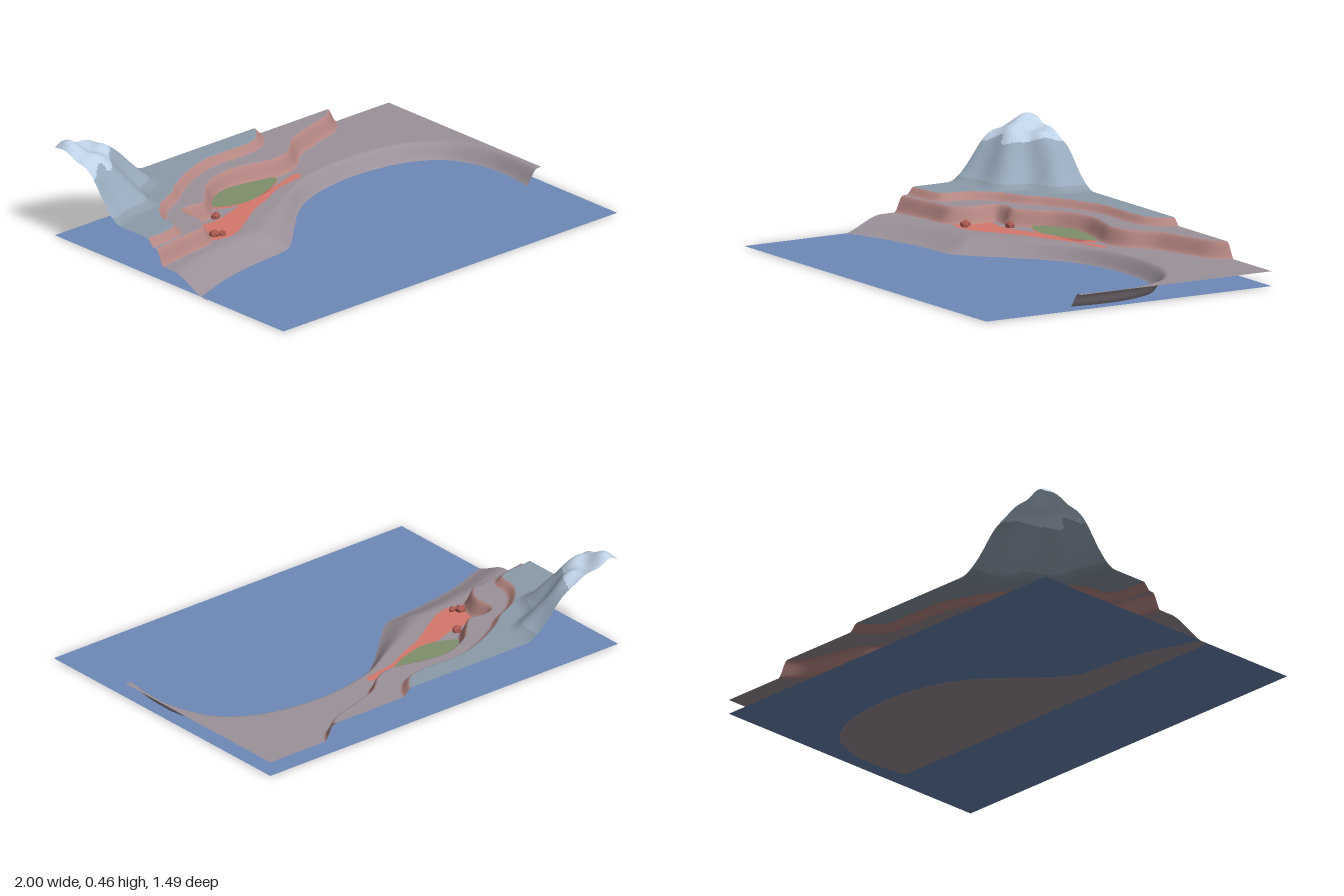
import * as THREE from 'three';

const { smoothstep, lerp } = THREE.MathUtils;

// Smooth contour line in plan (x, z)
const contour = (pts) =>
  new THREE.SplineCurve(pts.map(([x, z]) => new THREE.Vector2(x, z))).getPoints(90);

const shore = contour([[-1.15, 0.27], [-1, 0.23], [-0.8, 0.16], [-0.61, 0.12], [-0.37, 0.09], [-0.27, 0.02],
  [-0.16, -0.09], [-0.05, -0.195], [0.08, -0.28], [0.24, -0.33], [0.43, -0.35], [0.62, -0.33],
  [0.75, -0.285], [0.85, -0.21], [0.9, -0.115], [0.93, 0], [0.93, 0.14], [0.915, 0.25], [0.9, 0.4]]);
const lowerCliff = contour([[-1.15, -0.04], [-1, -0.06], [-0.8, -0.095], [-0.67, -0.115], [-0.61, -0.21],
  [-0.61, -0.31], [-0.56, -0.33], [-0.48, -0.32], [-0.4, -0.39], [-0.32, -0.465], [-0.18, -0.515],
  [-0.05, -0.5], [0.08, -0.47], [0.19, -0.495], [0.3, -0.585], [0.46, -0.64], [0.59, -0.68],
  [0.66, -0.745], [0.72, -0.85]]);
const upperCliff = contour([[-1.15, -0.1], [-1, -0.12], [-0.81, -0.15], [-0.77, -0.28], [-0.68, -0.38],
  [-0.56, -0.44], [-0.48, -0.5], [-0.32, -0.58], [-0.18, -0.62], [0, -0.62], [0.11, -0.635],
  [0.18, -0.69], [0.22, -0.76], [0.25, -0.85]]);
const clayPatch = contour([[-0.64, -0.115], [-0.6, -0.19], [-0.59, -0.28], [-0.5, -0.27], [-0.42, -0.28],
  [-0.29, -0.32], [-0.13, -0.35], [0, -0.385], [0.14, -0.425], [0.14, -0.385], [-0.02, -0.355],
  [-0.16, -0.29], [-0.26, -0.25], [-0.37, -0.18], [-0.48, -0.115], [-0.56, -0.095], [-0.64, -0.115]]);
const pondEdge = contour([[-0.41, -0.385], [-0.32, -0.45], [-0.21, -0.49], [-0.05, -0.47], [0.04, -0.435],
  [-0.05, -0.37], [-0.21, -0.32], [-0.32, -0.335], [-0.41, -0.385]]);

function inside(poly, x, z) {
  let hit = false;
  for (let i = 0, j = poly.length - 1; i < poly.length; j = i++) {
    const a = poly[i], b = poly[j];
    if ((a.y > z) !== (b.y > z) && x < ((b.x - a.x) * (z - a.y)) / (b.y - a.y) + a.x) hit = !hit;
  }
  return hit;
}

// Distance to a contour, positive on the side closed off by the corner point
function signedDistance(line, corner, x, z) {
  let best = Infinity;
  for (let i = 1; i < line.length; i++) {
    const a = line[i - 1], dx = line[i].x - a.x, dz = line[i].y - a.y;
    const t = Math.min(1, Math.max(0, ((x - a.x) * dx + (z - a.y) * dz) / (dx * dx + dz * dz)));
    best = Math.min(best, Math.hypot(x - a.x - t * dx, z - a.y - t * dz));
  }
  return inside([...line, corner], x, z) ? best : -best;
}

// Mountain in the back corner: rounded plateau with ridges and a peak
function mountain(x, z) {
  const u = (x + 1) / 0.37, v = (z + 0.75) / 0.3;
  const ang = Math.atan2(v, u);
  const r = Math.pow(Math.pow(Math.max(u, 0), 1.7) + Math.pow(Math.max(v, 0), 1.7), 1 / 1.7)
    * (1 + 0.07 * Math.sin(ang * 9 + 1.8) * Math.sin(ang * 2));
  const mass = 1 - smoothstep(r, 0.55, 1.45);
  const peak = 0.045 * Math.exp(-(((x + 0.95) / 0.06) ** 2) - ((z + 0.71) / 0.1) ** 2);
  const ripple = 0.012 * Math.sin(x * 31 + z * 9) * Math.sin(z * 27 - x * 8);
  return mass * (0.225 + ripple) + peak;
}

function makeMesh(name, geometry, color, flatShading = false) {
  const mesh = new THREE.Mesh(geometry,
    new THREE.MeshStandardMaterial({ color, side: THREE.DoubleSide, flatShading }));
  mesh.name = name;
  return mesh;
}

function createLand() {
  const land = new THREE.Group();
  land.name = 'land';
  const base = new THREE.PlaneGeometry(2, 0.995, 260, 130);
  base.rotateX(-Math.PI / 2);
  base.translate(0, 0, -0.2475);
  const pos = base.attributes.position;
  const d1 = [], d2 = [];
  const seaCorner = new THREE.Vector2(-1.15, 0.4), backCorner = new THREE.Vector2(-1.15, -0.85);

  // Heights: beach slope, two cliff steps, mountain, pond basin
  for (let i = 0; i < pos.count; i++) {
    const x = pos.getX(i), z = pos.getZ(i);
    const inland = -signedDistance(shore, seaCorner, x, z);
    d1[i] = signedDistance(lowerCliff, backCorner, x, z);
    d2[i] = signedDistance(upperCliff, backCorner, x, z);
    const beach = lerp(0.19, 0.06, smoothstep(x, -0.5, 0));
    const basin = 1 - smoothstep(Math.hypot((x + 0.19) / 0.2, (z + 0.41) / 0.065), 0.3, 1);
    pos.setY(i, 0.071 * smoothstep(inland, -0.01, beach) + 0.072 * smoothstep(d1[i], -0.022, 0.022)
      + 0.034 * smoothstep(d2[i], -0.02, 0.02) + mountain(x, z) - 0.036 * basin);
  }
  base.computeVertexNormals();

  // Sort the triangles into ground types that share one surface
  const kinds = {
    plain: [0x9c919a, []], cliffs: [0xb58682, []], clay: [0xd6786c, []],
    highland: [0x8c9ba9, []], mountain: [0x96a8ba, []], snowCap: [0xbfd2e6, []],
  };
  const idx = base.index.array;
  for (let i = 0; i < idx.length; i += 3) {
    const tri = [idx[i], idx[i + 1], idx[i + 2]];
    const mean = (f) => (f(tri[0]) + f(tri[1]) + f(tri[2])) / 3;
    const x = mean((k) => pos.getX(k)), y = mean((k) => pos.getY(k)), z = mean((k) => pos.getZ(k));
    const a = mean((k) => d1[k]), b = mean((k) => d2[k]);
    let kind = 'plain';
    if (y > 0.365 + 0.02 * Math.sin(x * 60 + z * 35)) kind = 'snowCap';
    else if (y > 0.2) kind = 'mountain';
    else if (Math.abs(a) < 0.021 || Math.abs(b) < 0.017) kind = 'cliffs';
    else if (b > 0) kind = 'highland';
    else if (inside(clayPatch, x, z) || inside(pondEdge, x, z)) kind = 'clay';
    kinds[kind][1].push(...tri);
  }
  for (const [name, [color, index]] of Object.entries(kinds)) {
    const g = new THREE.BufferGeometry();
    g.setAttribute('position', pos);
    g.setAttribute('normal', base.attributes.normal);
    g.setIndex(index);
    land.add(makeMesh(name, g.toNonIndexed(), color));
  }
  return land;
}

export function createModel() {
  const model = new THREE.Group();
  model.name = 'coastalTerrain';

  // Sea sheet just above the sea bed
  const sea = new THREE.PlaneGeometry(2, 1.49);
  sea.rotateX(-Math.PI / 2);
  sea.translate(0, 0.004, 0);
  model.add(makeMesh('sea', sea, 0x6d8ab8));

  model.add(createLand());

  // Green pond surface over the basin
  const pond = new THREE.ShapeGeometry(new THREE.Shape(pondEdge.map((p) => new THREE.Vector2(p.x, -p.y))));
  pond.rotateX(-Math.PI / 2);
  pond.translate(0, 0.08, 0);
  model.add(makeMesh('pond', pond, 0x7f8f6b));

  // Small rocks on the clay
  [[-0.59, -0.15, 0.028], [-0.56, -0.13, 0.02], [-0.45, -0.295, 0.027]].forEach(([x, z, r], i) => {
    const rock = makeMesh('rock', new THREE.IcosahedronGeometry(r, 0), 0xa85a50, true);
    rock.position.set(x, 0.075, z);
    rock.rotation.set(i, i * 2, 0.4);
    rock.scale.y = 0.8;
    model.add(rock);
  });

  return model;
}
